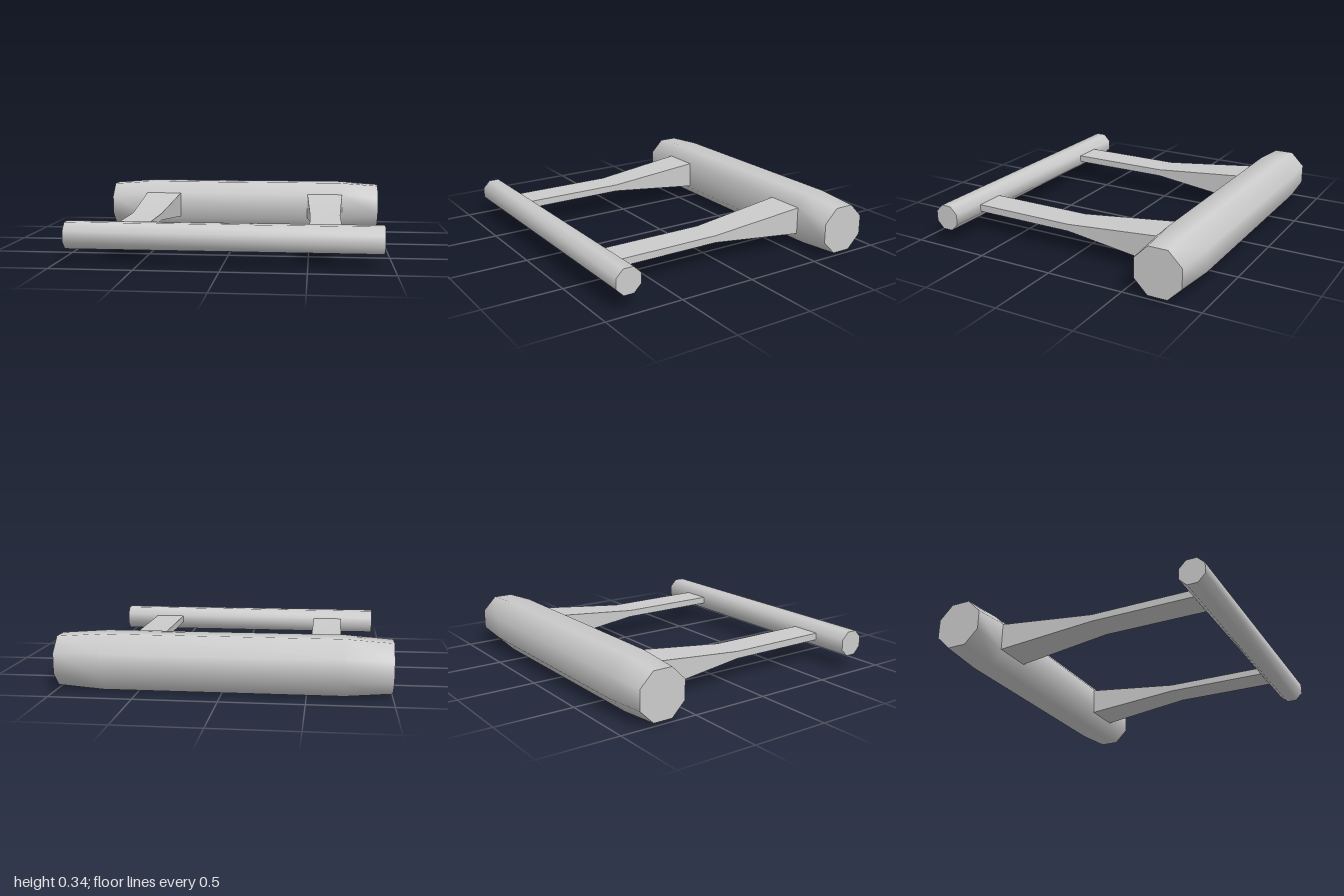
import * as THREE from 'three';
import { toCreasedNormals } from 'three/addons/utils/BufferGeometryUtils.js';

const MID_Y = 0.172;
const material = new THREE.MeshStandardMaterial({ color: 0xcccccc });

// Skin a closed, capped solid through rings of [x, y, z] points
// (each ring runs counter-clockwise about the direction of travel).
function loft(name, rings) {
  const n = rings[0].length;
  const last = (rings.length - 1) * n;
  const index = [];
  for (let r = 0; r < last; r += n) {
    for (let i = 0; i < n; i++) {
      const a = r + i, b = r + (i + 1) % n;
      index.push(a, b, b + n, a, b + n, a + n);
    }
  }
  for (let i = 1; i < n - 1; i++) {
    index.push(0, i + 1, i, last, last + i, last + i + 1);
  }
  const geometry = new THREE.BufferGeometry();
  geometry.setAttribute('position', new THREE.Float32BufferAttribute(rings.flat(2), 3));
  geometry.setIndex(index);
  const mesh = new THREE.Mesh(toCreasedNormals(geometry, 0.9), material);
  mesh.name = name;
  return mesh;
}

// Flat-topped octagon across x, with its front side cut back to the given depth
function octagon(x, z, half, front = half) {
  const radius = half / Math.cos(Math.PI / 8);
  return Array.from({ length: 8 }, (_, i) => {
    const angle = (i + 0.5) * Math.PI / 4;
    let y = radius * Math.cos(angle);
    let dz = radius * Math.sin(angle);
    if (dz > front) {
      y += Math.sign(y) * (dz - front);
      dz = front;
    }
    return [x, MID_Y + y, z + dz];
  });
}

// Rectangle across z
function rectangle(z, x0, x1, halfHeight) {
  const top = MID_Y + 0.002 + halfHeight, bottom = MID_Y + 0.002 - halfHeight;
  return [[x1, top, z], [x0, top, z], [x0, bottom, z], [x1, bottom, z]];
}

export function createModel() {
  const group = new THREE.Group();
  group.name = 'frame';

  // Thick rear bar, tapering at both ends
  group.add(loft('rearBar', [
    octagon(-1, -0.727, 0.15),
    octagon(-0.72, -0.727, 0.17, 0.142),
    octagon(0.72, -0.727, 0.17, 0.142),
    octagon(1, -0.727, 0.15),
  ]));

  // Thin front bar
  group.add(loft('frontBar', [octagon(-0.94, 0.816, 0.08), octagon(0.94, 0.816, 0.08)]));

  // Connecting arms, flaring towards the rear bar
  for (const side of [-1, 1]) {
    const section = (z, inner, outer, halfHeight) =>
      rectangle(z, Math.min(side * inner, side * outer), Math.max(side * inner, side * outer), halfHeight);
    group.add(loft(side > 0 ? 'leftArm' : 'rightArm', [
      section(-0.586, 0.478, 0.735, 0.089),
      section(0.05, 0.505, 0.705, 0.023),
      section(0.76, 0.505, 0.705, 0.023),
    ]));
  }
  return group;
}
